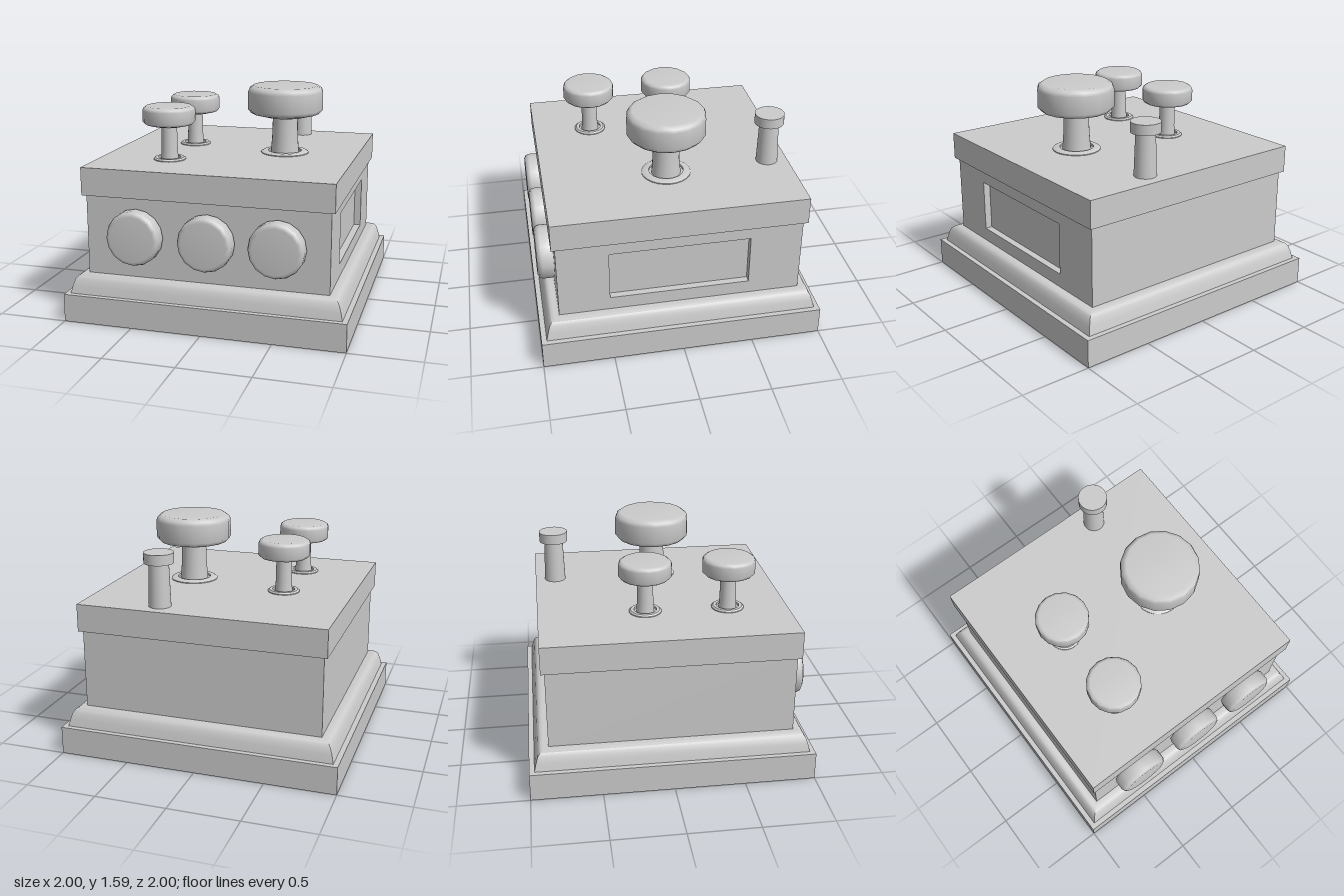
import * as THREE from 'three';
import { toCreasedNormals } from 'three/addons/utils/BufferGeometryUtils.js';

const material = new THREE.MeshStandardMaterial({ color: 0xcccccc });

function add(parent, name, geometry, x = 0, y = 0, z = 0) {
  const mesh = new THREE.Mesh(geometry, material);
  mesh.name = name;
  mesh.position.set(x, y, z);
  parent.add(mesh);
  return mesh;
}

// Turned part from [radius, height] pairs listed bottom to top
function turned(profile, sides, crease = 0) {
  const points = profile.map(([r, y]) => new THREE.Vector2(r, y));
  const geometry = new THREE.LatheGeometry(points, sides);
  return crease ? toCreasedNormals(geometry, crease) : geometry;
}

// Square moulding: a four-sided turning whose profile gives the half width
function squareMoulding(profile) {
  const points = profile.map(([h, y]) => new THREE.Vector2(h * Math.SQRT2, y));
  return toCreasedNormals(new THREE.LatheGeometry(points, 4, Math.PI / 4), 0.9);
}

// Button on a stem that passes through a washer on the lid
function pushButton(name, x, z, radius, stemRadius, washerRadius, bottom, top) {
  const group = new THREE.Group();
  group.name = name;
  group.position.set(x, 1.095, z);
  const b = bottom - 1.095, t = top - 1.095, h = t - b;
  add(group, 'buttonHead', turned([
    [0, b], [radius * 0.55, b], [radius * 0.9, b + h * 0.11], [radius, b + h * 0.24],
    [radius, b + h * 0.8], [radius * 0.96, b + h * 0.91], [radius * 0.85, t], [0, t],
  ], 16));
  add(group, 'buttonStem', turned([[stemRadius * 1.06, 0], [stemRadius * 0.97, h * 0.5], [stemRadius * 0.92, b + 0.01]], 24));
  const inner = washerRadius * 0.7;
  add(group, 'washer', turned([
    [inner, 0], [washerRadius, 0], [washerRadius, 0.006], [washerRadius * 0.9, 0.016], [inner, 0.016], [inner, 0],
  ], 24, 0.6));
  return group;
}

export function createModel() {
  const model = new THREE.Group();
  model.name = 'controlBox';

  // Plinth and rounded moulding
  add(model, 'plinth', new THREE.BoxGeometry(2, 0.2, 2), 0, 0.1, 0);
  add(model, 'plinthMoulding', squareMoulding([
    [0.963, 0.2], [0.95, 0.255], [0.935, 0.3], [0.919, 0.32], [0.897, 0.332], [0.85, 0.332],
  ]));

  // Body, with a side panel framing a shallow rectangular recess
  const recess = 0.05;
  add(model, 'body', new THREE.BoxGeometry(1.72 - recess, 0.6, 1.72), -recess / 2, 0.61, 0);
  const rectangle = (Type, x0, y0, x1, y1) => new Type([[x0, y0], [x1, y0], [x1, y1], [x0, y1]]
    .map(([x, y]) => new THREE.Vector2(x, y)));
  const panel = rectangle(THREE.Shape, -0.86, 0.31, 0.86, 0.91);
  panel.holes.push(rectangle(THREE.Path, -0.5, 0.43, 0.49, 0.8));
  const frame = new THREE.ExtrudeGeometry(panel, { depth: recess, bevelEnabled: false });
  add(model, 'recessedSidePanel', frame.rotateY(Math.PI / 2), 0.86 - recess, 0, 0);

  // Lid
  add(model, 'lid', new THREE.BoxGeometry(1.772, 0.197, 1.772), 0, 0.9965, 0);

  // Round dials along the front
  const dial = turned([
    [0.18, 0], [0.193, 0.02], [0.193, 0.085], [0.184, 0.108], [0.16, 0.12], [0, 0.12],
  ], 16).rotateX(Math.PI / 2);
  for (const x of [-0.49, 0.02, 0.51]) add(model, 'frontDial', dial, x, 0.633, 0.857);

  // One large and two small push buttons on the lid
  model.add(pushButton('largeButton', 0.352, 0.01, 0.277, 0.098, 0.175, 1.365, 1.593));
  for (const z of [-0.13, 0.46]) {
    model.add(pushButton('smallButton', -0.388, z, 0.187, 0.06, 0.115, 1.335, 1.48));
  }

  // Capped pin at the back of the lid
  add(model, 'pinStem', new THREE.CylinderGeometry(0.068, 0.078, 0.31, 32), 0.325, 1.25, -0.738);
  add(model, 'pinCap', new THREE.CylinderGeometry(0.104, 0.104, 0.073, 32), 0.325, 1.437, -0.738);

  return model;
}
